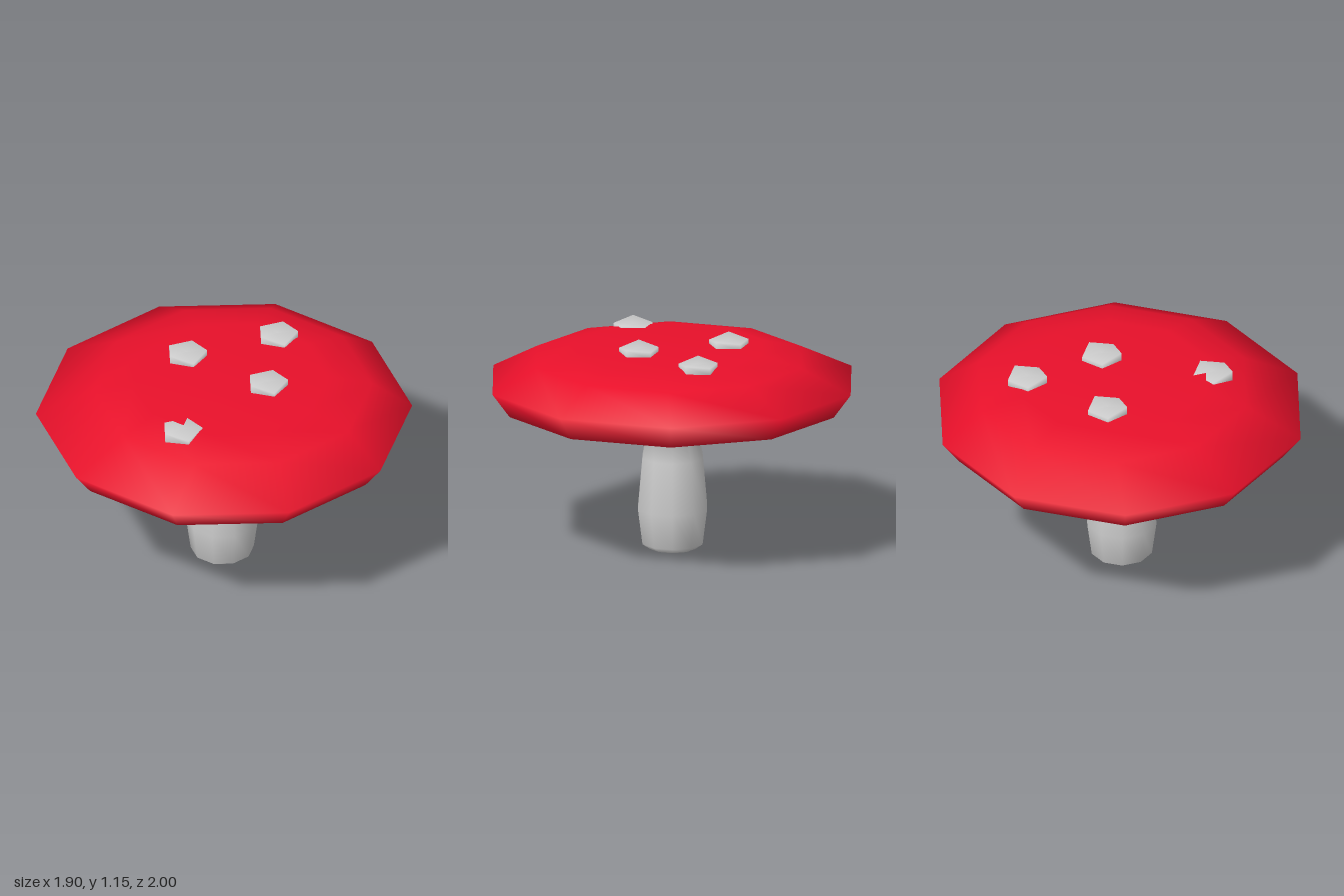
import * as THREE from 'three';

const SIDES = 10;

// Turned part from [radius, y, xShift] rings, listed bottom to top
function turned(name, rings, sides, material) {
  const points = rings.map(([r, y]) => new THREE.Vector2(r, y));
  const geometry = new THREE.LatheGeometry(points, sides);
  const pos = geometry.attributes.position;
  for (let i = 0; i < pos.count; i++) {
    pos.setX(i, pos.getX(i) + (rings[i % rings.length][2] || 0));
  }
  const mesh = new THREE.Mesh(geometry, material);
  mesh.name = name;
  return mesh;
}

// Five-sided spot with an uneven upper rim
function makeSpot(x, z, drop, material) {
  const rimHeights = [1.13, 1.145, 1.135, 1.135, 1.155];
  const spot = turned('spot', [[0.11, 1.1], [0.11, 1.14], [0, 1.135]], 5, material);
  const pos = spot.geometry.attributes.position;
  for (let i = 0; i <= 5; i++) pos.setY(i * 3 + 1, rimHeights[i % 5]);
  spot.position.set(x, drop, z);
  return spot;
}

export function createModel() {
  const model = new THREE.Group();
  model.name = 'mushroom';
  const grey = new THREE.MeshStandardMaterial({ color: 0xcccccc, side: THREE.DoubleSide });
  const red = new THREE.MeshStandardMaterial({ color: 0xe8102a, side: THREE.DoubleSide });

  // Cap: turned-under lip, wide rim, and slightly off-centre flat crown
  model.add(turned('cap', [
    [0.72, 0.8], [0.905, 0.79], [1, 0.92],
    [0.74, 1.06, 0.05], [0.515, 1.11, 0.04], [0, 1.11, 0.04],
  ], SIDES, red));

  // Open-bottomed stem flowing into the flat underside of the cap
  model.add(turned('stemAndUnderside', [
    [0.125, 0, -0.01], [0.168, 0.03, -0.01], [0.193, 0.22, -0.01],
    [0.168, 0.5, -0.01], [0.113, 0.8, -0.01], [0.43, 0.8], [0.72, 0.8],
  ], SIDES, grey));

  // Spots on the crown
  const spots = new THREE.Group();
  spots.name = 'spots';
  for (const [x, z, drop] of [
    [-0.11, -0.28, 0], [0.405, -0.28, -0.003], [0.2, 0.12, 0], [-0.365, 0.34, -0.025],
  ]) spots.add(makeSpot(x, z, drop, grey));
  model.add(spots);

  return model;
}
